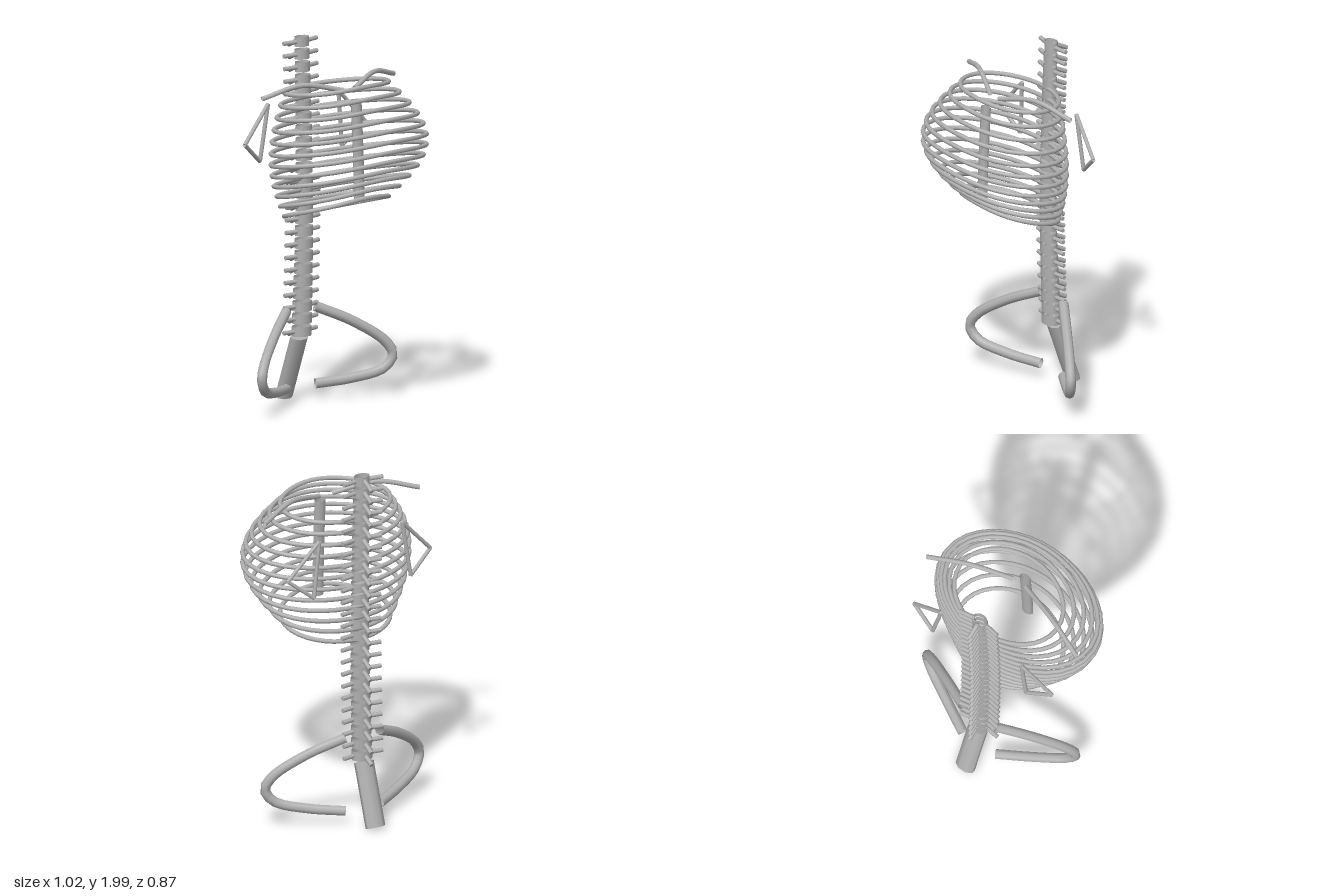
import * as THREE from 'three';

const V = (x, y, z) => new THREE.Vector3(x, y, z);

export function createModel() {
  const root = new THREE.Group();
  root.name = 'torsoSkeleton';
  const bone = new THREE.MeshStandardMaterial({ color: 0xb0b0b0, side: THREE.DoubleSide });
  bone.name = 'boneGrey';

  const add = (parent, name, geometry) => {
    const mesh = new THREE.Mesh(geometry, bone);
    mesh.name = name;
    parent.add(mesh);
    return mesh;
  };

  // Straight rod between two points
  const rod = (parent, name, a, b, r) => {
    const dir = b.clone().sub(a);
    const mesh = add(parent, name, new THREE.CylinderGeometry(r, r, dir.length(), 8));
    mesh.position.copy(a).add(b).multiplyScalar(0.5);
    mesh.quaternion.setFromUnitVectors(V(0, 1, 0), dir.normalize());
    return mesh;
  };

  const tube = (parent, name, points, r, segments, closed = false) =>
    add(parent, name, new THREE.TubeGeometry(new THREE.CatmullRomCurve3(points, closed), segments, r, 8, closed));

  // Spine: 24 hollow vertebrae, growing downward along a slight curve
  const spine = new THREE.Group();
  spine.name = 'spine';
  root.add(spine);
  for (let i = 0; i < 24; i++) {
    const t = i / 23;
    const vertebra = new THREE.Group();
    vertebra.name = 'vertebra';
    vertebra.position.set(0, 1.974 - 1.579 * t, -0.268 + 0.02 * Math.sin(Math.PI * t));
    spine.add(vertebra);
    const body = add(vertebra, 'vertebraBody', new THREE.CylinderGeometry(1, 1, 0.052, 12, 1, true));
    body.scale.set(0.045 + 0.014 * t, 1, 0.033 + 0.014 * t);
    rod(vertebra, 'spinousProcess', V(0, 0.006, -0.02), V(0, -0.034, -0.1), 0.0125);
    for (const s of [1, -1]) {
      rod(vertebra, 'transverseProcess', V(s * 0.035, 0, 0), V(s * 0.123, 0, -0.014), 0.012);
    }
  }

  // Sacrum: flattened, leaning backward
  const sacrum = rod(root, 'sacrum', V(0, 0.357, -0.288), V(0, 0.018, -0.405), 0.058);
  sacrum.geometry.rotateY(Math.PI / 8);
  sacrum.scale.z = 0.62;

  // Rib cage: tilted oval hoops, widest in the middle
  const ribCage = new THREE.Group();
  ribCage.name = 'ribCage';
  root.add(ribCage);
  for (let i = 0; i < 12; i++) {
    const swell = Math.sin((Math.PI * i) / 11);
    const width = 0.316 + 0.171 * swell;
    const front = 0.235 + 0.189 * swell, back = -0.238;
    const yFront = 1.787 - 0.0553 * i, yBack = 1.738 - 0.0629 * i;
    const points = [];
    for (let k = 0; k < 32; k++) {
      const a = (k / 32) * Math.PI * 2, c = Math.cos(a), f = (1 + c) / 2;
      const lift = 0.013 * Math.max(0, c) ** 6;
      points.push(V(width * Math.sin(a), yBack + (yFront - yBack) * f + lift, back + (front - back) * f));
    }
    tube(ribCage, 'rib', points, 0.0122, 36, true);
  }

  // Breastbone: flattened upright bar
  const sternum = tube(root, 'sternum', [V(0, 1.715, 0.15), V(0, 1.43, 0.165), V(0, 1.16, 0.174)], 0.022, 10);
  sternum.scale.x = 1.6;

  // Paired bones
  for (const s of [1, -1]) {
    const P = (x, y, z) => V(s * x, y, z);
    tube(root, 'collarbone', [P(0.042, 1.765, 0.095), P(0.27, 1.811, 0.012), P(0.49, 1.757, -0.068)], 0.0135, 14);

    // Shoulder blade: triangular frame
    const blade = new THREE.Group();
    blade.name = 'shoulderBlade';
    root.add(blade);
    const corners = [P(0.262, 1.67, -0.256), P(0.45, 1.475, -0.24), P(0.305, 1.36, -0.274)];
    corners.forEach((p, k) => rod(blade, 'bladeEdge', p, corners[(k + 1) % 3], 0.011));

    // Hip: open loop in a slanted upright plane
    const hip = [[0.108, 0.512], [0.29, 0.42], [0.45, 0.3], [0.488, 0.225], [0.445, 0.155], [0.29, 0.11], [0.108, 0.09]];
    tube(root, 'hipBone', hip.map(([x, y]) => P(x, y, -0.275 + (x - 0.108) * 0.54)), 0.028, 24);
  }

  return root;
}
